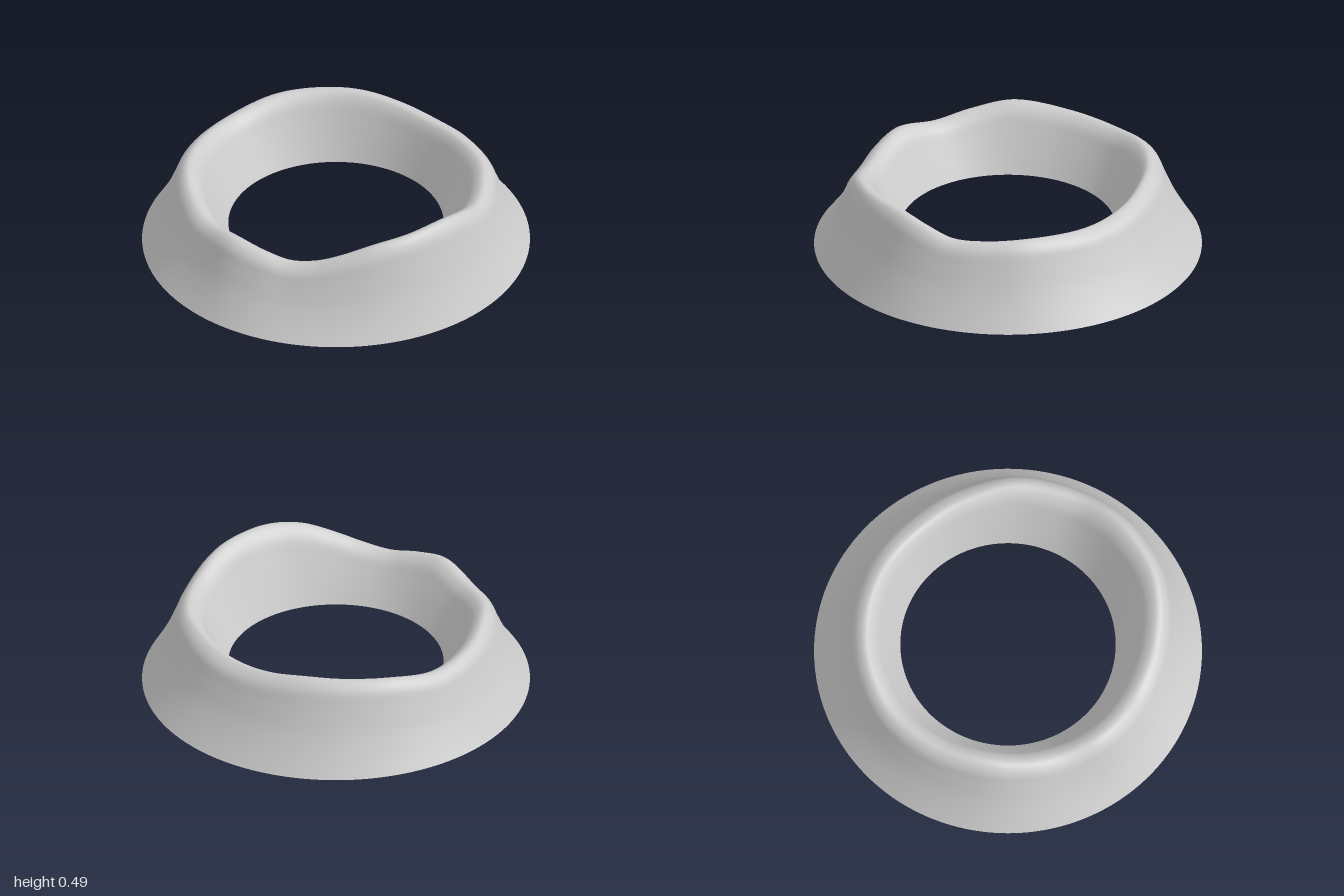
import * as THREE from 'three';

// Crest of the ring wall: angle in degrees (from +x towards +z), radius, height
const CREST = [
  [0, 0.78, 0.485], [18, 0.79, 0.49], [32, 0.78, 0.465], [45, 0.765, 0.405], [55, 0.755, 0.36],
  [66, 0.75, 0.338], [78, 0.76, 0.365], [90, 0.77, 0.39], [107, 0.755, 0.36], [122, 0.76, 0.39],
  [138, 0.765, 0.425], [160, 0.765, 0.4], [182, 0.765, 0.39], [203, 0.75, 0.43], [222, 0.73, 0.442],
  [238, 0.715, 0.44], [254, 0.705, 0.415], [270, 0.70, 0.398], [286, 0.715, 0.403], [310, 0.755, 0.42],
  [325, 0.765, 0.41], [338, 0.775, 0.41], [350, 0.78, 0.455],
];
const BASE_RADIUS = 1, HOLE_RADIUS = 0.555, HOLE_HEIGHT = 0.1;
const AROUND = 192, ACROSS = 40;

// Cross-section from the outer foot, over the crest, down to the edge of the hole
function crossSection(r, h) {
  const outer = (f, g) => new THREE.Vector2(r + (BASE_RADIUS - r) * f, h * g);
  const inner = (f, g) => new THREE.Vector2(
    r + (HOLE_RADIUS - r) * f, HOLE_HEIGHT + (h - HOLE_HEIGHT) * g);
  return new THREE.SplineCurve([
    outer(1, 0), outer(0.77, 0.22), outer(0.55, 0.46), outer(0.36, 0.72), outer(0.22, 0.91),
    outer(0, 1),
    inner(0.28, 0.88), inner(0.5, 0.63), inner(0.74, 0.33), inner(1, 0),
  ]);
}

function ringWallGeometry() {
  const crest = new THREE.CatmullRomCurve3(CREST.map(([deg, r, h]) => {
    const a = THREE.MathUtils.degToRad(deg);
    return new THREE.Vector3(r * Math.cos(a), h, r * Math.sin(a));
  }), true);

  const positions = [], indices = [], row = ACROSS + 1;
  for (let i = 0; i < AROUND; i++) {
    const p = crest.getPoint(i / AROUND);
    const r = Math.hypot(p.x, p.z);
    const section = crossSection(r, p.y);
    for (let j = 0; j <= ACROSS; j++) {
      const s = section.getPoint(j / ACROSS);
      positions.push(s.x * p.x / r, s.y, s.x * p.z / r);
      if (j < ACROSS) {
        const a = i * row + j, b = ((i + 1) % AROUND) * row + j;
        indices.push(a, a + 1, b, b, a + 1, b + 1);
      }
    }
  }
  const geometry = new THREE.BufferGeometry();
  geometry.setAttribute('position', new THREE.Float32BufferAttribute(positions, 3));
  geometry.setIndex(indices);
  geometry.computeVertexNormals();
  return geometry;
}

export function createModel() {
  const group = new THREE.Group();
  group.name = 'craterRing';
  // Thin open shell, visible from below as well
  const material = new THREE.MeshStandardMaterial({ color: 0xcccccc, side: THREE.DoubleSide });
  const wall = new THREE.Mesh(ringWallGeometry(), material);
  wall.name = 'ringWall';
  group.add(wall);
  return group;
}
